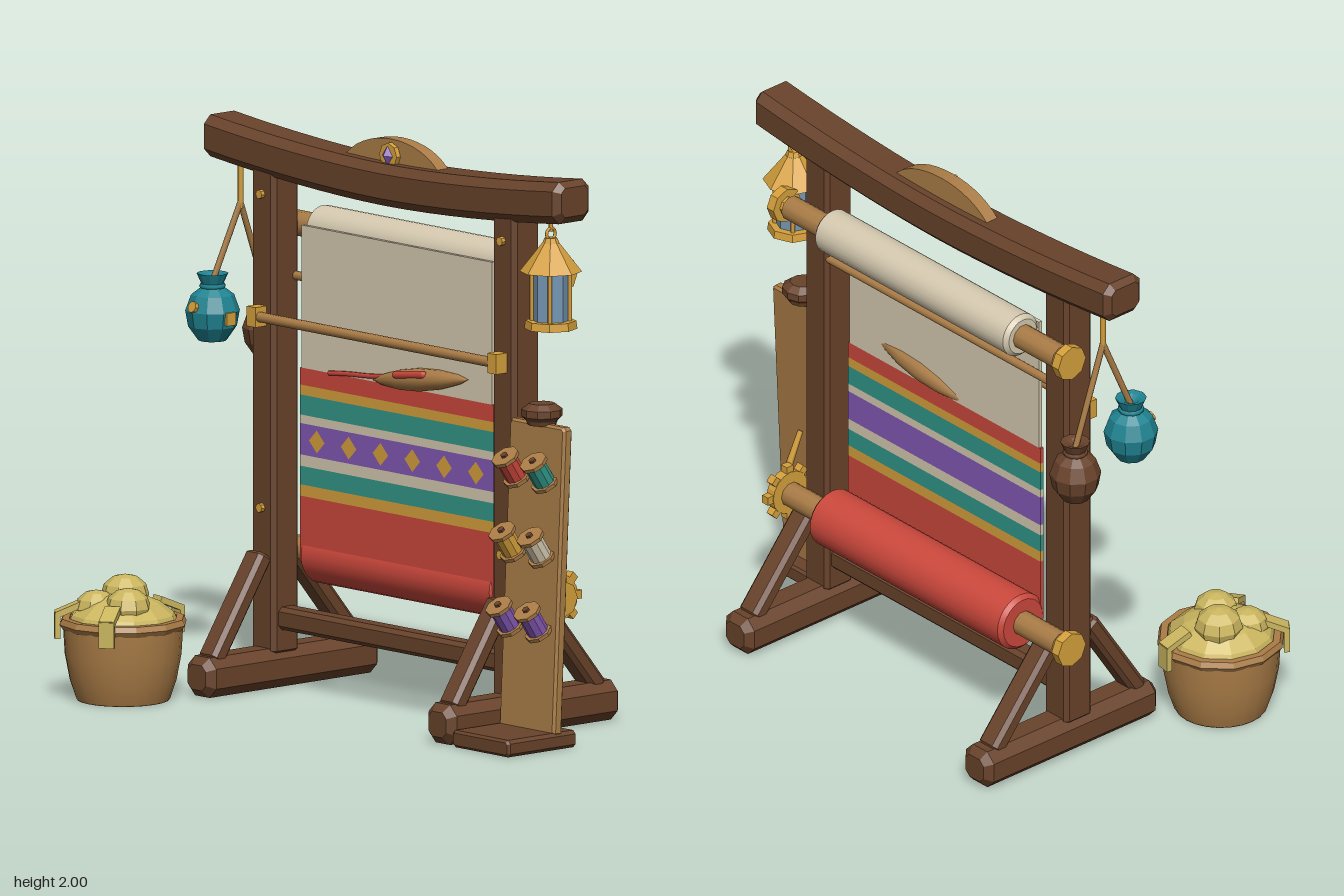
import * as THREE from 'three';

const paint = (name, color) => Object.assign(new THREE.MeshStandardMaterial({ color }), { name });
const M = {
  dark: paint('dark wood', 0x69432b), tan: paint('tan wood', 0xab7d47), gold: paint('brass', 0xd6a03c),
  teal: paint('teal thread', 0x329789), pouch: paint('teal pouch', 0x1f8492), red: paint('red thread', 0xcc483c),
  purple: paint('purple thread', 0x8459b5), cream: paint('cream cloth', 0xd6cab0),
  straw: paint('raw wool', 0xcbb65f), glass: paint('lantern glass', 0x7696b4),
};
M.cream.side = THREE.FrontSide;

// ---- helpers ----
function flat(geo) {
  const g = geo.index ? geo.toNonIndexed() : geo;
  g.computeVertexNormals();
  return g;
}
function add(parent, name, geo, mat, pos = [0, 0, 0], rot = [0, 0, 0]) {
  const m = new THREE.Mesh(geo, mat);
  m.name = name;
  m.position.set(...pos);
  m.rotation.set(...rot);
  parent.add(m);
  return m;
}
function group(parent, name, pos = [0, 0, 0], rot = [0, 0, 0]) {
  const g = new THREE.Group();
  g.name = name;
  g.position.set(...pos);
  g.rotation.set(...rot);
  parent.add(g);
  return g;
}
// Timber with chamfered edges, running along z
function timber(w, h, len, c, steps = 1) {
  const x = w / 2, y = h / 2, s = new THREE.Shape();
  [[-x + c, -y], [x - c, -y], [x, -y + c], [x, y - c], [x - c, y], [-x + c, y], [-x, y - c], [-x, -y + c]]
    .forEach(([a, b], i) => (i ? s.lineTo(a, b) : s.moveTo(a, b)));
  const e = c * 0.75;
  return new THREE.ExtrudeGeometry(s, {
    depth: len - 2 * e, steps, bevelEnabled: true, bevelSegments: 1, bevelThickness: e, bevelSize: e, bevelOffset: -e,
  }).translate(0, 0, -(len - 2 * e) / 2);
}
// Straight part between two points; the geometry runs along +y
function between(parent, name, geo, mat, a, b) {
  const p = new THREE.Vector3(...a), q = new THREE.Vector3(...b);
  const m = add(parent, name, geo(p.distanceTo(q)), mat, p.clone().lerp(q, 0.5).toArray());
  m.quaternion.setFromUnitVectors(new THREE.Vector3(0, 1, 0), q.sub(p).normalize());
  return m;
}
const rod = (parent, name, mat, a, b, r, sides = 10, r2 = r) =>
  between(parent, name, (l) => new THREE.CylinderGeometry(r2, r, l, sides), mat, a, b);
const lathe = (pts, n) => new THREE.LatheGeometry(pts.map((p) => new THREE.Vector2(...p)), n);
const prism = (r1, r2, h, n) => flat(new THREE.CylinderGeometry(r1, r2, h, n));

function buildFrame(root) {
  const f = group(root, 'frame');
  for (const s of [-1, 1]) {
    const x = s * 0.62;
    add(f, 'foot', timber(0.145, 0.14, 0.8, 0.035), M.dark, [x, 0.07, -0.217]);
    add(f, 'post', timber(0.12, 0.125, 1.72, 0.015), M.dark, [x, 0.98, -0.183], [Math.PI / 2, 0, 0]);
    for (const [z0, z1] of [[0.12, -0.11], [-0.545, -0.255]]) {
      between(f, 'brace', (l) => timber(0.09, 0.065, l, 0.015).rotateX(Math.PI / 2), M.dark, [x, 0.12, z0], [x, 0.47, z1]);
    }
    for (const y of [1.73, 0.63]) add(f, 'peg', prism(0.016, 0.016, 0.03, 8), M.gold, [x, y, -0.12], [Math.PI / 2, 0, 0]);
  }
  add(f, 'stretcher', timber(0.08, 0.08, 1.14, 0.015), M.dark, [0, 0.245, -0.183], [0, Math.PI / 2, 0]);

  // Upswept top beam
  const beam = timber(0.17, 0.147, 1.84, 0.03, 16).rotateY(Math.PI / 2);
  const p = beam.attributes.position;
  for (let i = 0; i < p.count; i++) {
    const t = Math.abs(p.getX(i)) / 0.92;
    p.setY(i, p.getY(i) + 0.057 * Math.pow(t, 1.8));
  }
  add(f, 'topBeam', flat(beam), M.dark, [0, 1.843, -0.186]);

  const s = new THREE.Shape();
  s.moveTo(-0.235, 1.87);
  s.lineTo(0.235, 1.87);
  s.lineTo(0.235, 1.92);
  s.bezierCurveTo(0.13, 2.026, -0.13, 2.026, -0.235, 1.92);
  add(f, 'crest', new THREE.ExtrudeGeometry(s, { depth: 0.05, bevelEnabled: false, curveSegments: 14 }), M.tan, [0, 0, -0.215]);
  add(f, 'gemSetting', prism(0.045, 0.045, 0.02, 8), M.gold, [0, 1.943, -0.157], [Math.PI / 2, 0, 0]);
  add(f, 'gem', new THREE.OctahedronGeometry(0.035), M.purple, [0, 1.943, -0.145]).scale.set(0.75, 1, 0.6);
}

function buildRolls(root) {
  const g = group(root, 'rollers');
  for (const [name, y, r, mat] of [['warpRoll', 1.61, 0.08, M.cream], ['clothRoll', 0.47, 0.105, M.red]]) {
    const z = -0.285, c = 0.015, roll = group(g, name, [0, y, z], [0, 0, -Math.PI / 2]);
    add(roll, name + 'Body', new THREE.CylinderGeometry(r, r, 1 - 2 * c, 24), mat);
    for (const s of [-1, 1]) {
      const up = s > 0;
      add(roll, name + 'End', new THREE.CylinderGeometry(up ? r - c : r, up ? r : r - c, c, 24), mat, [0, s * (0.5 - c / 2), 0]);
      add(roll, 'axleCap', prism(0.064, 0.064, 0.035, 8), M.gold, [0, s * 0.737, 0]);
      add(roll, 'axleCollar', prism(0.035, 0.035, 0.05, 8), M.gold, [0, s * 0.705, 0]);
    }
    add(roll, 'axle', new THREE.CylinderGeometry(0.045, 0.045, 1.4, 10), M.tan);
  }
  // Ratchet wheel and its lever
  const w = group(g, 'ratchet', [0.72, 0.475, -0.285]);
  add(w, 'ratchetWheel', prism(0.08, 0.08, 0.035, 16), M.gold, [0, 0, 0], [0, 0, Math.PI / 2]);
  for (let i = 0; i < 8; i++) {
    const a = (i * Math.PI) / 4;
    add(w, 'ratchetTooth', new THREE.BoxGeometry(0.03, 0.03, 0.035), M.gold, [0, 0.085 * Math.sin(a), 0.085 * Math.cos(a)], [-a, 0, 0]);
  }
  rod(w, 'pawl', M.gold, [0.02, 0.06, 0.015], [0.02, 0.2, 0.08], 0.014, 6, 0.01);

  rod(g, 'heddleBar', M.tan, [-0.63, 1.305, -0.09], [0.63, 1.305, -0.09], 0.018);
  rod(g, 'shedBar', M.tan, [-0.6, 1.44, -0.225], [0.6, 1.44, -0.225], 0.016);
  for (const s of [-1, 1]) add(g, 'heddleBracket', new THREE.BoxGeometry(0.045, 0.07, 0.06), M.gold, [s * 0.62, 1.305, -0.1]);
}

function buildCloth(root) {
  const g = group(root, 'weaving'), z = -0.195;
  const bands = [[1.63, 'cream'], [1.13, 'red'], [1.07, 'gold'], [1.035, 'teal'], [0.965, 'cream'], [0.935, 'purple'],
    [0.825, 'cream'], [0.785, 'teal'], [0.72, 'gold'], [0.68, 'red'], [0.45]];
  for (let i = 0; i < bands.length - 1; i++) {
    const [y, mat] = bands[i], y2 = bands[i + 1][0];
    add(g, mat + 'Band', new THREE.BoxGeometry(i ? 0.995 : 0.98, y - y2, 0.014), M[mat], [0, (y + y2) / 2, z]);
  }
  for (let i = 0; i < 6; i++) add(g, 'diamond', new THREE.CircleGeometry(0.04, 4), M.gold, [(i - 2.5) * 0.164, 0.88, z + 0.009]);

  // Shuttle stuck through the warp, with trailing thread
  const s = group(g, 'shuttle', [0.125, 1.17, z + 0.01], [0, 0, 0.13]);
  const hull = lathe([[0, -0.25], [0.018, -0.2], [0.036, -0.1], [0.042, 0], [0.036, 0.1], [0.018, 0.2], [0, 0.25]], 10);
  add(s, 'shuttleHull', hull, M.tan, [0, 0, 0], [0, 0, Math.PI / 2]);
  add(s, 'shuttleThread', new THREE.CapsuleGeometry(0.014, 0.14, 3, 8), M.red, [-0.02, 0.02, 0.03], [0, 0, Math.PI / 2]);
  const path = new THREE.CatmullRomCurve3([[-0.34, 1.132], [-0.24, 1.142], [-0.12, 1.15], [0.02, 1.17]]
    .map(([x, y]) => new THREE.Vector3(x, y, z + 0.014)));
  add(g, 'weftThread', new THREE.TubeGeometry(path, 12, 0.009, 6), M.red);
}

function buildLantern(root) {
  const g = group(root, 'lantern', [0.8, 0, -0.183]);
  add(g, 'lanternBase', prism(0.088, 0.092, 0.028, 8), M.gold, [0, 1.454, 0]);
  add(g, 'lanternGlass', prism(0.062, 0.062, 0.18, 8), M.glass, [0, 1.555, 0]);
  add(g, 'lanternRoof', prism(0.03, 0.108, 0.1, 8), M.gold, [0, 1.69, 0]);
  add(g, 'lanternCap', prism(0.022, 0.03, 0.02, 8), M.gold, [0, 1.748, 0]);
  for (let i = 0; i < 4; i++) {
    const a = Math.PI / 4 + (i * Math.PI) / 2;
    rod(g, 'lanternBar', M.gold, [0.066 * Math.sin(a), 1.46, 0.066 * Math.cos(a)], [0.066 * Math.sin(a), 1.65, 0.066 * Math.cos(a)], 0.008, 6);
  }
  add(g, 'lanternRing', new THREE.TorusGeometry(0.02, 0.006, 6, 12), M.gold, [0, 1.772, 0], [0, Math.PI / 2, 0]);
  rod(g, 'lanternHook', M.gold, [0, 1.78, 0], [0, 1.86, 0], 0.008, 6);
}

function buildPouches(root) {
  const g = group(root, 'hangingPouches'), apex = [-0.8, 1.67, -0.183];
  rod(g, 'pouchHook', M.gold, [-0.8, 1.65, -0.183], [-0.8, 1.86, -0.183], 0.011, 6);
  const shape = [[0, 0], [0.05, 0.005], [0.085, 0.055], [0.095, 0.11], [0.075, 0.165], [0.035, 0.195], [0.055, 0.24], [0.035, 0.235], [0, 0.215]];
  for (const [name, mat, x, y, z, k] of [['tealPouch', M.pouch, -0.83, 1.19, -0.08, 1], ['brownPouch', M.dark, -0.81, 1.11, -0.32, 0.95]]) {
    const p = group(g, name, [x, y, z]);
    p.scale.setScalar(k);
    add(p, name + 'Bag', flat(lathe(shape, 10)), mat);
    add(p, name + 'Tie', new THREE.TorusGeometry(0.038, 0.009, 6, 12), mat === M.dark ? M.dark : M.pouch, [0, 0.196, 0], [Math.PI / 2, 0, 0]);
    rod(g, 'pouchStrap', M.tan, apex, [x, y + 0.21 * k, z], 0.011, 6);
    if (mat === M.pouch) {
      add(p, 'pouchButton', prism(0.02, 0.02, 0.014, 8), M.gold, [0, 0.13, 0.09], [Math.PI / 2 - 0.3, 0, 0]);
      add(p, 'pouchClasp', new THREE.BoxGeometry(0.012, 0.045, 0.04), M.gold, [0.092, 0.09, 0]);
    }
  }
}

function buildSpoolRack(root) {
  const g = group(root, 'spoolRack');
  add(g, 'rackBase', timber(0.295, 0.06, 0.32, 0.012), M.dark, [0.837, 0.03, 0.02]);
  add(g, 'rackBoard', timber(0.285, 1.08, 0.042, 0.012), M.tan, [0.837, 0.585, -0.08], [-0.047, 0, 0]);
  const knob = [[0, 0], [0.05, 0], [0.055, 0.015], [0.072, 0.03], [0.072, 0.055], [0.045, 0.075], [0, 0.075]];
  add(g, 'rackKnob', flat(lathe(knob, 10)), M.dark, [0.837, 1.117, -0.108]);
  [['red', 'teal'], ['gold', 'cream'], ['purple', 'purple']].forEach((row, j) => row.forEach((mat, i) => {
    const s = group(g, 'spool', [0.765 + i * 0.145, 0.965 - j * 0.26, -0.03 + j * 0.015], [0.6, 0, 0]);
    add(s, 'spoolThread', prism(0.038, 0.038, 0.085, 10), M[mat]);
    for (const e of [-1, 1]) add(s, 'spoolFlange', prism(0.05, 0.05, 0.014, 8), M.tan, [0, e * 0.047, 0]);
    add(s, 'spoolPin', prism(0.013, 0.013, 0.125, 6), M.dark);
    rod(s, 'spoolPeg', M.dark, [0, -0.02, 0], [0, -0.055, -0.045], 0.012, 6);
  }));
}

function buildBasket(root) {
  const g = group(root, 'woolBasket', [-0.77, 0, 0.39]);
  add(g, 'basketBody', lathe([[0, 0], [0.16, 0], [0.163, 0.005], [0.185, 0.07], [0.202, 0.16], [0.208, 0.26]], 24), M.tan);
  add(g, 'basketRim', flat(lathe([[0.19, 0.25], [0.212, 0.25], [0.224, 0.268], [0.215, 0.288], [0.19, 0.288], [0.186, 0.25]], 12)), M.tan);
  add(g, 'woolHeap', flat(lathe([[0.195, 0.265], [0.18, 0.3], [0.13, 0.34], [0.07, 0.365], [0, 0.37]], 12)), M.straw);
  for (const [x, y, z, r] of [[-0.045, 0.355, -0.05, 0.085], [0.07, 0.335, 0.04, 0.08], [-0.06, 0.32, 0.07, 0.075]]) {
    add(g, 'woolTuft', flat(new THREE.SphereGeometry(r, 9, 6)), M.straw, [x, y, z]).scale.y = 0.85;
  }
  // Loose wool draped over the rim
  for (const [x, z] of [[-0.11, 0.14], [0.1, 0.15], [0.03, -0.19]]) {
    const f = group(g, 'woolDrape', [0, 0, 0], [0, Math.atan2(x, z), 0]);
    add(f, 'drapeTop', new THREE.BoxGeometry(0.055, 0.022, 0.1), M.straw, [0, 0.32, 0.186], [0.4, 0, 0]);
    add(f, 'drapeEnd', new THREE.BoxGeometry(0.055, 0.09, 0.02), M.straw, [0, 0.262, 0.228]);
  }
}

export function createModel() {
  const root = new THREE.Group();
  root.name = 'weavingLoom';
  [buildFrame, buildRolls, buildCloth, buildLantern, buildPouches, buildSpoolRack, buildBasket].forEach((b) => b(root));
  return root;
}
